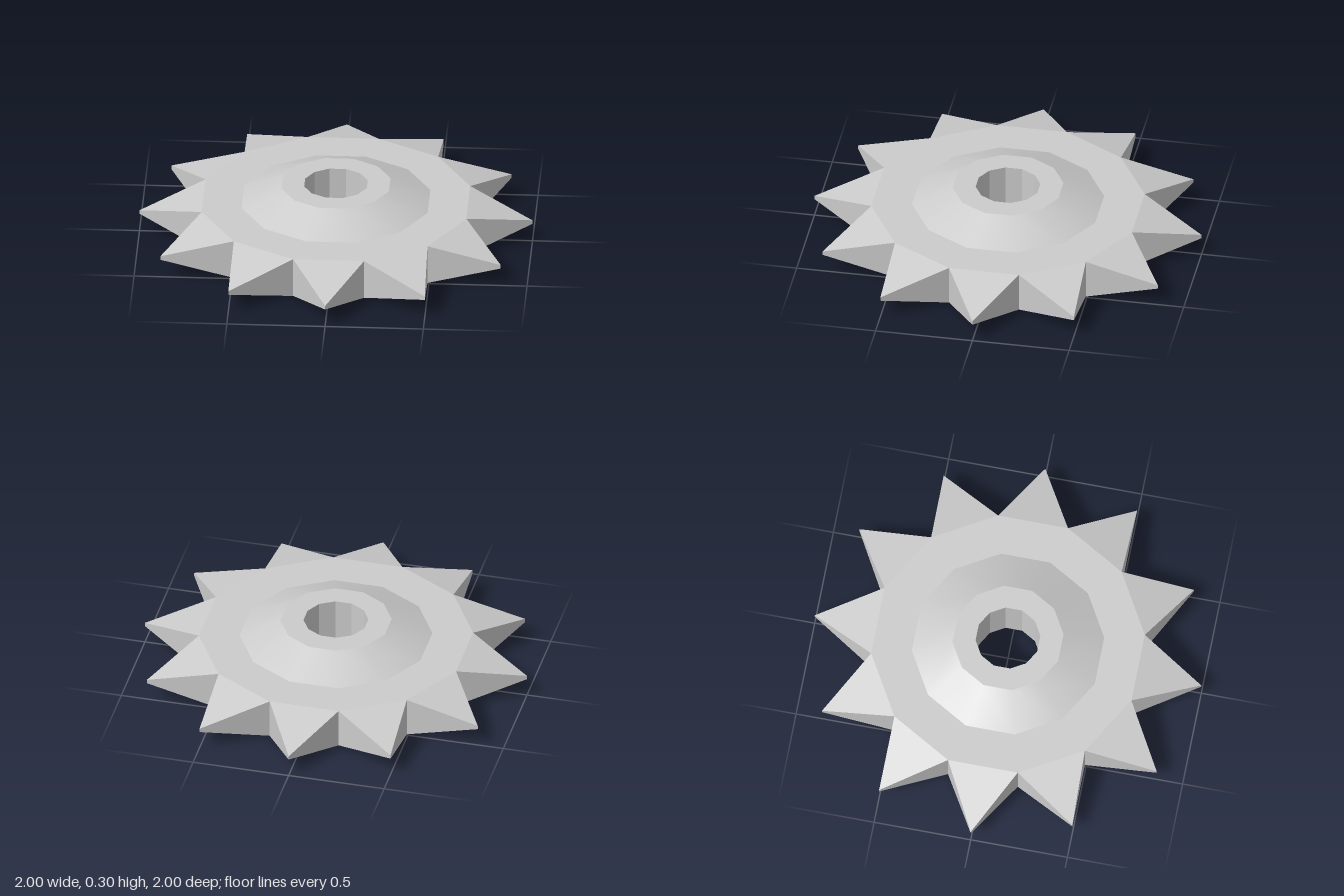
import * as THREE from 'three';

const SIDES = 12;
const STEP = (Math.PI * 2) / SIDES;
const RIM = 0.697, HEIGHT = 0.21;   // disc corner radius and thickness
const HUB = 0.49, HUB_TOP = 0.283, HUB_Y = 0.3;
const BORE = 0.165;

// A band turned round the y axis, with corners between the teeth
function ring(name, profile, material) {
  const points = profile.map(([r, y]) => new THREE.Vector2(r, y));
  const mesh = new THREE.Mesh(new THREE.LatheGeometry(points, SIDES, STEP / 2), material);
  mesh.name = name;
  return mesh;
}

// Spike from a full-height base edge to a short vertical tip edge
function toothGeometry() {
  const x = RIM * Math.sin(STEP / 2), z = RIM * Math.cos(STEP / 2);
  const tipLow = 0.097, tipHigh = 0.117;
  const positions = [
    -x, 0, z,  x, 0, z,  0, tipLow, 1,             // bottom corners and tip
    -x, HEIGHT, z,  x, HEIGHT, z,  0, tipHigh, 1,  // top corners and tip
  ];
  const geometry = new THREE.BufferGeometry();
  geometry.setAttribute('position', new THREE.Float32BufferAttribute(positions, 3));
  geometry.setIndex([
    3, 5, 4,            // top slope
    0, 1, 2,            // bottom slope
    1, 4, 5, 1, 5, 2,   // side towards +x
    0, 2, 5, 0, 5, 3,   // side towards -x
  ]);
  const flat = geometry.toNonIndexed();
  flat.computeVertexNormals();
  return flat;
}

export function createModel() {
  const model = new THREE.Group();
  model.name = 'spikedWheel';
  const flat = new THREE.MeshStandardMaterial({ color: 0xcccccc, flatShading: true });
  const smooth = new THREE.MeshStandardMaterial({ color: 0xcccccc });

  // Disc and raised hub
  model.add(
    ring('discBottom', [[BORE, 0], [RIM, 0]], flat),
    ring('discTop', [[RIM, HEIGHT], [HUB, HEIGHT]], flat),
    ring('hubSlope', [[HUB, HEIGHT], [HUB_TOP, HUB_Y]], smooth),
    ring('hubTop', [[HUB_TOP, HUB_Y], [BORE, HUB_Y]], flat),
    ring('boreWall', [[BORE, HUB_Y], [BORE, 0]], flat),
  );

  // Teeth
  const teeth = new THREE.Group();
  teeth.name = 'teeth';
  const geometry = toothGeometry();
  for (let i = 0; i < SIDES; i++) {
    const tooth = new THREE.Mesh(geometry, flat);
    tooth.name = `tooth${i + 1}`;
    tooth.rotation.y = i * STEP;
    teeth.add(tooth);
  }
  model.add(teeth);
  return model;
}
